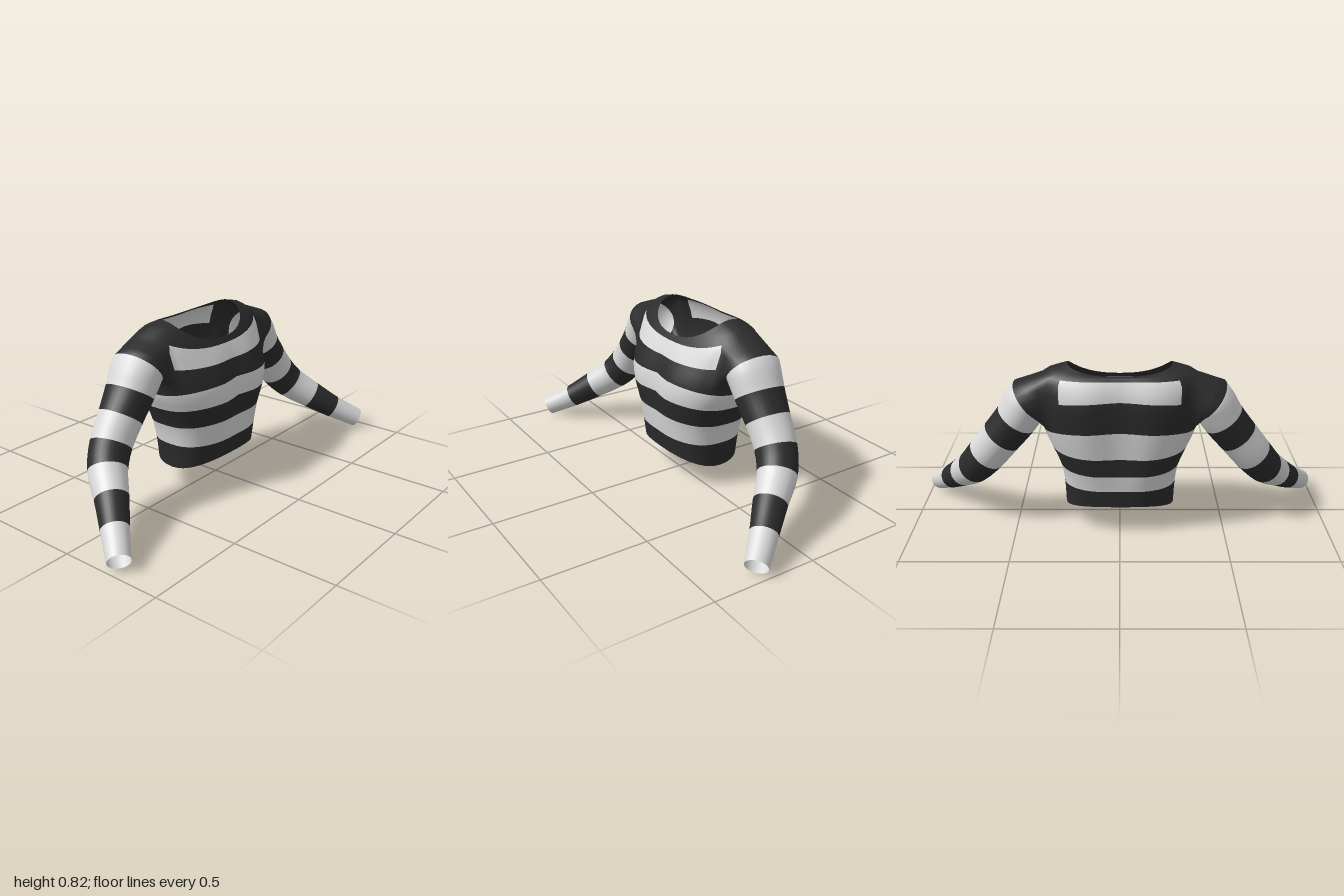
import * as THREE from 'three';

const dark = new THREE.MeshStandardMaterial({ color: 0x2b2b2b, side: THREE.DoubleSide });
dark.name = 'charcoal knit';
const light = new THREE.MeshStandardMaterial({ color: 0xd8d8d8, side: THREE.DoubleSide });
light.name = 'pale grey knit';

const COLS = 48, SUB = 3;          // columns around the torso, steps per stripe
const HOLE = { half: 4, r0: 12, r1: 18 }; // armhole, in columns and rows

// Stripe edges of the torso, hem to neck:
// y front, y side, y back, half width, z front, z back, z side, chest groove, back groove
const torsoRows = [
  [0.148, 0.103, 0.142, 0.262, 0.118, -0.243, -0.06, 0.00, 0.00],
  [0.235, 0.225, 0.225, 0.268, 0.132, -0.258, -0.06, 0.005, 0.01],
  [0.345, 0.325, 0.305, 0.285, 0.148, -0.274, -0.065, 0.01, 0.02],
  [0.445, 0.420, 0.395, 0.322, 0.164, -0.287, -0.07, 0.025, 0.03],
  [0.535, 0.505, 0.530, 0.358, 0.152, -0.302, -0.08, 0.025, 0.035],
  [0.620, 0.640, 0.680, 0.368, 0.108, -0.306, -0.10, 0.01, 0.035],
  [0.690, 0.775, 0.768, 0.360, 0.062, -0.258, -0.12, 0.00, 0.015],
  [0.715, 0.822, 0.785, 0.240, 0.045, -0.222, -0.11, 0.00, 0.00],
];

// Stripe edges of a sleeve, shoulder to cuff: x, y, z, radius along z, radius upward
const sleeveRows = [
  [0.425, 0.640, -0.110, 0.134, 0.108],
  [0.485, 0.545, -0.105, 0.120, 0.102],
  [0.560, 0.450, -0.095, 0.105, 0.098],
  [0.640, 0.350, -0.080, 0.096, 0.094],
  [0.710, 0.265, -0.035, 0.090, 0.086],
  [0.785, 0.190, 0.060, 0.076, 0.074],
  [0.868, 0.115, 0.157, 0.063, 0.061],
  [0.958, 0.046, 0.265, 0.052, 0.050],
];

// Smooth in-between rows through the given ones
function refine(rows) {
  const out = [];
  const at = i => rows[Math.max(0, Math.min(rows.length - 1, i))];
  for (let i = 0; i < rows.length - 1; i++) {
    for (let k = 0; k < SUB; k++) {
      const t = k / SUB;
      out.push(rows[i].map((b, n) => {
        const a = at(i - 1)[n], c = at(i + 1)[n], d = at(i + 2)[n];
        return 0.5 * (2 * b + (c - a) * t + (2 * a - 5 * b + 4 * c - d) * t * t + (3 * b - a - 3 * c + d) * t * t * t);
      }));
    }
  }
  out.push(rows[rows.length - 1]);
  return out;
}

function torsoPoint([yf, ys, yb, w, zf, zb, zs, gf, gb], j) {
  const a = (j / COLS) * Math.PI * 2, s = Math.sin(a), c = Math.cos(a), front = c > 0;
  const x = w * Math.sign(s) * Math.abs(s) ** 0.85;
  const y = ys + ((front ? yf : yb) - ys) * Math.abs(c) ** 1.3;
  const groove = front ? -gf * Math.exp(-((x / 0.07) ** 2)) : gb * Math.exp(-((x / 0.1) ** 2));
  const z = zs + ((front ? zf : zb) - zs) * Math.abs(c) ** 0.75 + groove;
  return new THREE.Vector3(x, y, z);
}

export function createModel() {
  const points = [];
  const add = p => points.push(p.x, p.y, p.z) / 3 - 1;
  const faces = {};
  const quad = (part, isLight, a, b, c, d) => {
    faces[part] ??= [[], []];
    faces[part][isLight ? 1 : 0].push(a, b, c, a, c, d);
  };

  // Torso: stacked rings with an armhole left open on each side
  const rows = refine(torsoRows);
  const grid = rows.map(row => Array.from({ length: COLS }, (_, j) => add(torsoPoint(row, j))));
  const inHole = (r, j) => r >= HOLE.r0 && r < HOLE.r1 &&
    [COLS / 4, COLS * 3 / 4].some(m => j >= m - HOLE.half && j < m + HOLE.half);
  for (let r = 0; r < rows.length - 1; r++) {
    const band = Math.floor(r / SUB);
    for (let j = 0; j < COLS; j++) {
      if (inHole(r, j)) continue;
      const shoulderBlade = band === 5 && ((j >= 16 && j < 18) || (j >= 30 && j < 32));
      const k = (j + 1) % COLS;
      quad('torso', band % 2 === 1 && !shoulderBlade, grid[r][j], grid[r][k], grid[r + 1][k], grid[r + 1][j]);
    }
  }

  // Sleeves: grow out of the armhole edge and follow the bent arm
  const arm = refine(sleeveRows);
  const centre = i => new THREE.Vector3(...arm[Math.max(0, Math.min(arm.length - 1, i))]);
  for (const side of [1, -1]) {
    const part = side > 0 ? 'leftSleeve' : 'rightSleeve';
    const mid = side > 0 ? COLS / 4 : COLS * 3 / 4;
    const c0 = mid - HOLE.half, c1 = mid + HOLE.half;
    const loop = [];
    for (let j = c0; j < c1; j++) loop.push(grid[HOLE.r0][j]);
    for (let r = HOLE.r0; r < HOLE.r1; r++) loop.push(grid[r][c1]);
    for (let j = c1; j > c0; j--) loop.push(grid[HOLE.r1][j]);
    for (let r = HOLE.r1; r > HOLE.r0; r--) loop.push(grid[r][c0]);
    const n = loop.length;

    const rings = arm.map((row, i) => {
      const t = centre(i + 1).sub(i ? centre(i - 1) : new THREE.Vector3(0.37, 0.67, -0.115)).normalize();
      const f = new THREE.Vector3(0, 0, 1).addScaledVector(t, -t.z).normalize();
      const u = new THREE.Vector3().crossVectors(f, t);
      return loop.map((_, k) => {
        const a = -Math.PI / 2 + side * (Math.PI * 2 * (HOLE.half - k) / n);
        const p = centre(i).addScaledVector(f, row[3] * Math.cos(a)).addScaledVector(u, row[4] * Math.sin(a));
        p.x *= side;
        return p;
      });
    });

    // Shoulder blend between the armhole and the first sleeve ring
    const edge = loop.map(v => new THREE.Vector3().fromArray(points, v * 3));
    const blend = [1 / 3, 2 / 3].map(t => edge.map((p, k) => p.clone().lerp(rings[0][k], t)));
    const ids = [loop, ...[...blend, ...rings].map(ring => ring.map(add))];
    for (let r = 0; r < ids.length - 1; r++) {
      const isLight = Math.floor(r / SUB) % 2 === 1;
      for (let k = 0; k < n; k++) {
        const m = (k + 1) % n;
        quad(part, isLight, ids[r][k], ids[r][m], ids[r + 1][m], ids[r + 1][k]);
      }
    }
  }

  // Shared smooth normals across the whole garment, so the seams stay invisible
  const whole = new THREE.BufferGeometry();
  whole.setAttribute('position', new THREE.Float32BufferAttribute(points, 3));
  whole.setIndex(Object.values(faces).flat(2));
  whole.computeVertexNormals();

  const group = new THREE.Group();
  group.name = 'stripedSweater';
  for (const [name, [darkFaces, lightFaces]] of Object.entries(faces)) {
    const geometry = new THREE.BufferGeometry();
    geometry.setAttribute('position', whole.attributes.position);
    geometry.setAttribute('normal', whole.attributes.normal);
    geometry.setIndex([...darkFaces, ...lightFaces]);
    geometry.addGroup(0, darkFaces.length, 0);
    geometry.addGroup(darkFaces.length, lightFaces.length, 1);
    const mesh = new THREE.Mesh(geometry, [dark, light]);
    mesh.name = name;
    group.add(mesh);
  }
  return group;
}
